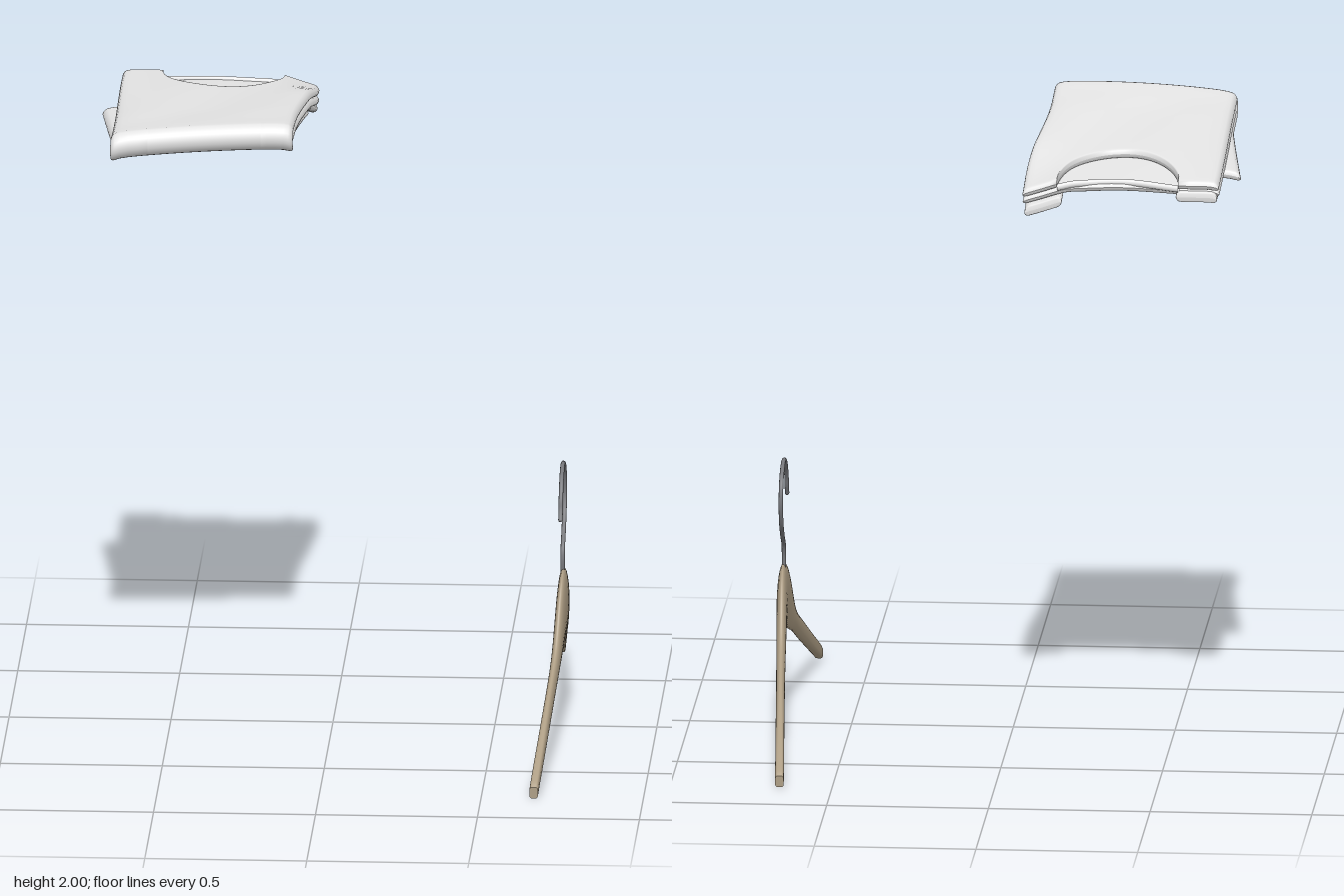
import * as THREE from 'three';

const shirtGrey = new THREE.MeshStandardMaterial({ name: 'shirt grey', color: 0xe5e5e5, side: THREE.DoubleSide });
const wood = new THREE.MeshStandardMaterial({ name: 'wood', color: 0xad9d84 });
const steel = new THREE.MeshStandardMaterial({ name: 'steel', color: 0x77787c });

const { lerp, clamp, smoothstep } = THREE.MathUtils;
const range = (n, f) => Array.from({ length: n + 1 }, (_, i) => f(i / n));

// Skin a list of closed rings, each an array of [x, y, z]
function skin(rings) {
  const n = rings[0].length, index = [];
  for (let i = 0; i < rings.length - 1; i++) {
    for (let j = 0; j < n; j++) {
      const k = (j + 1) % n, a = i * n + j, b = i * n + k, c = a + n, d = b + n;
      index.push(a, b, c, b, d, c);
    }
  }
  const geo = new THREE.BufferGeometry();
  geo.setAttribute('position', new THREE.Float32BufferAttribute(rings.flat(2), 3));
  geo.setIndex(index);
  geo.computeVertexNormals();
  return geo;
}

function part(name, geo, mat) {
  const mesh = new THREE.Mesh(geo, mat);
  mesh.name = name;
  return mesh;
}

// ---- Shirt: s runs 0..1 across the width, z along the length ----
const NECK = 0.516, NECK_HALF = 0.31, H = 0.014, FOLD = 0.028;
const leftEdge = z => -0.672 - 0.01 * smoothstep(-z, -0.2, 0.6);
const rightEdge = z => -0.11 + 0.036 * smoothstep(-z, -0.1, 0.5);
const across = (s, z) => lerp(leftEdge(z), rightEdge(z), s);
const topY = (s, z) => 1.975 + 0.1 * z
  - 0.034 * (1 - s) ** 2 * smoothstep(z, -0.6, 0.2)
  - 0.012 * Math.exp(-Math.min(s, 1 - s) / 0.03)
  - 0.035 * smoothstep(s, 0.75, 1) * smoothstep(-z, 0.25, 0.6)
  + 0.004 * Math.sin(9 * s + 5 * z) * smoothstep(0.2 - z, 0, 0.2);

// Cloth of half thickness h along path(s), with rounded edges
function cloth(sList, path, h) {
  const s0 = sList[0], s1 = sList[sList.length - 1];
  const round = q => Math.sqrt(1 - (1 - clamp(q, 0, 1)) ** 2);
  return skin(sList.map(s => {
    const side = round(Math.min(s - s0, s1 - s) / 0.025);
    const pts = path(s), last = pts.length - 1;
    const face = sign => pts.map(([x, y, z, ny, nz], i) => {
      const t = sign * h * side * round(Math.min(i, last - i) / 3);
      return [x, y + ny * t, z + nz * t];
    });
    return [...face(1), ...face(-1).reverse()];
  }));
}

// Sample lists with extra points where edges are rounded
const edgeSteps = [0, 0.002, 0.006, 0.014];
const neckSteps = range(32, t => NECK - NECK_HALF * Math.cos(Math.PI * t));
const acrossSteps = [
  ...edgeSteps, 0.025, 0.05, 0.1, 0.15, ...neckSteps,
  0.86, 0.9, 0.95, 0.975, ...edgeSteps.map(e => 1 - e).reverse()];
const endSteps = [0, 0.004, 0.012, 0.024];
const longSteps = [...endSteps, ...range(18, t => 0.05 + 0.95 * t)];
const bothEnds = [...endSteps, ...range(16, t => 0.05 + 0.9 * t), ...endSteps.map(e => 1 - e).reverse()];

// Front panel from the neckline, round the fold and back underneath
function wrapPath(s) {
  const q = (s - NECK) / NECK_HALF;
  const shoulder = -0.617 + 0.017 * smoothstep(s, 0.1, 0.9);
  const z0 = shoulder + (Math.abs(q) < 1 ? 0.255 * Math.sqrt(1 - q * q) : 0);
  const zFold = 0.308 - 0.03 * s * s - FOLD - H;
  const upper = longSteps.map(t => {
    const z = lerp(z0, zFold, t);
    return [across(s, z), topY(s, z) - H, z, 1, 0];
  });
  const bend = range(12, t => {
    const c = Math.cos(Math.PI * t), n = Math.sin(Math.PI * t);
    return [across(s, zFold), topY(s, zFold) - H - FOLD + FOLD * c, zFold + FOLD * n, c, n];
  }).slice(1, -1);
  const lower = longSteps.map(t => {
    const z = lerp(-0.33, zFold, t);
    const x = lerp(leftEdge(z) - 0.05 * clamp((0.12 - z) / 0.45, 0, 1), rightEdge(z) - 0.012, s);
    return [x, topY(s, z) - H - 2 * FOLD, z, -1, 0];
  }).reverse();
  return [...upper, ...bend, ...lower];
}

// Layer below the top surface, at depth d0 at its back end and d1 at its front end
const layerPath = (z0, z1, d0, d1) => s => bothEnds.map(t => {
  const z = lerp(z0, z1, t);
  return [across(s, z), topY(s, z) - lerp(d0, d1, t), z, 1, 0];
});

function buildShirt() {
  const shirt = new THREE.Group();
  shirt.name = 'foldedShirt';
  shirt.add(part('frontPanel', cloth(acrossSteps, wrapPath, H), shirtGrey));
  shirt.add(part('backPanel', cloth(acrossSteps, layerPath(-0.585, 0.24, 0.042, 0.042), 0.0135), shirtGrey));

  // Sleeves folded under the shoulders, thicker on the left one
  for (const [name, a, b, depth] of [['rightSleeveFold', 0.01, 0.22, 0.056], ['leftSleeveFold', 0.8, 0.99, 0.074]]) {
    const steps = range(24, t => lerp(a, b, 0.5 - 0.5 * Math.cos(Math.PI * t)));
    shirt.add(part(name, cloth(steps, layerPath(-0.6, -0.335, depth, 0.052), 0.016), shirtGrey));
  }

  // Band along the back of the neck
  const band = new THREE.CatmullRomCurve3(range(8, t => {
    const s = lerp(0.205, 0.826, t), z = -0.6 + 0.022 * Math.sin(Math.PI * t) + 0.015 * t;
    return new THREE.Vector3(across(s, z), topY(s, z) - 0.03, z);
  }));
  shirt.add(part('neckBand', new THREE.TubeGeometry(band, 32, 0.011, 8), shirtGrey));
  return shirt;
}

// ---- Hanger ----
function buildHanger() {
  const hanger = new THREE.Group();
  hanger.name = 'hanger';

  // Half outline: [z, top, bottom], mirrored to the other arm
  const half = [
    [0, 0.507, 0.291], [0.04, 0.5, 0.289], [0.08, 0.478, 0.282], [0.13, 0.43, 0.267],
    [0.18, 0.368, 0.25], [0.23, 0.318, 0.234], [0.29, 0.28, 0.209], [0.4, 0.228, 0.161],
    [0.6, 0.132, 0.079], [0.74, 0.066, 0.022], [0.775, 0.048, 0.007], [0.79, 0.037, 0.001]];
  const outline = [...half.slice(1).reverse().map(([z, t, b]) => [-z, t, b]), ...half];
  const curve = new THREE.CatmullRomCurve3(outline.map(p => new THREE.Vector3(...p)));
  // Cross-section: oval in the middle, squarer towards the tips
  const ring = (p, size = 1) => {
    const [z, top, bottom] = [p.x, p.y, p.z];
    const xc = 0.711 - 0.07 * (Math.hypot(z, 0.1) - 0.1);
    const w = 0.0135 + 0.004 * Math.exp(-((z / 0.2) ** 2));
    const power = lerp(0.95, 0.55, smoothstep(Math.abs(z), 0.3, 0.79));
    return range(23, t => t * 23 / 24 * 2 * Math.PI).map(a => {
      const c = Math.cos(a), n = Math.sin(a);
      return [
        xc + size * w * Math.sign(c) * Math.abs(c) ** power,
        (top + bottom) / 2 + size * (top - bottom) / 2 * Math.sign(n) * Math.abs(n) ** power,
        z];
    });
  };
  const points = curve.getPoints(88), first = points[0], end = points[88];
  const rings = [ring(first, 0), ring(first), ...points.map(p => ring(p)), ring(end), ring(end, 0)];
  hanger.add(part('hangerBody', skin(rings), wood));

  // Wire hook as [z, y]
  const wire = [
    [0, 0.49], [0, 0.54], [-0.012, 0.572], [-0.062, 0.613], [-0.108, 0.665], [-0.127, 0.725],
    [-0.112, 0.785], [-0.068, 0.824], [-0.005, 0.838], [0.055, 0.815], [0.1, 0.762], [0.113, 0.728], [0.126, 0.7]];
  const path = new THREE.CatmullRomCurve3(wire.map(([z, y]) => new THREE.Vector3(0.709, y, z)));
  hanger.add(part('hook', new THREE.TubeGeometry(path, 80, 0.0068, 10), steel));
  const tip = part('hookTip', new THREE.SphereGeometry(0.0068, 10, 8), steel);
  tip.position.set(0.709, 0.7, 0.126);
  hanger.add(tip);
  return hanger;
}

export function createModel() {
  const model = new THREE.Group();
  model.name = 'shirtAndHanger';
  model.add(buildShirt(), buildHanger());
  return model;
}
